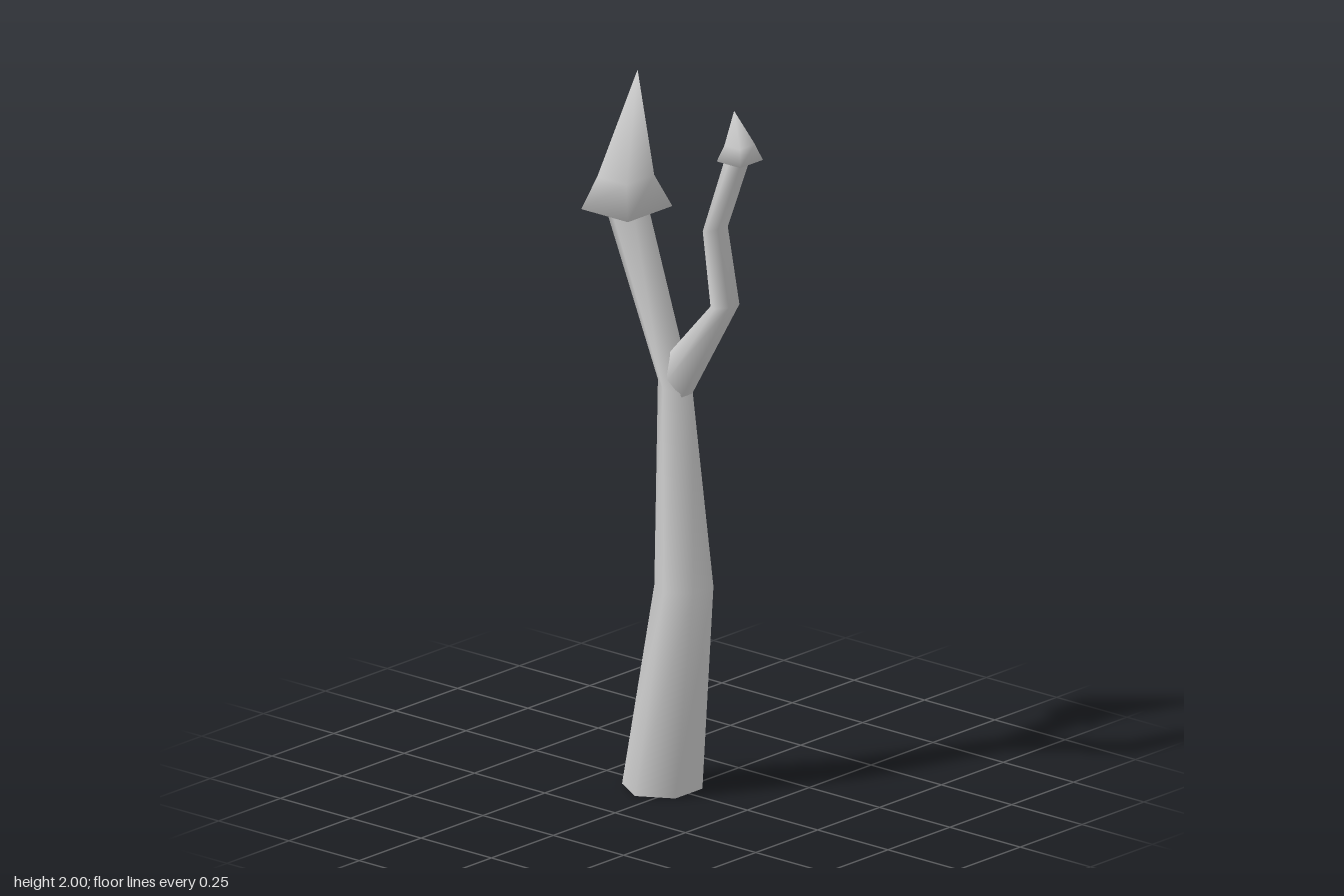
import * as THREE from 'three';
import { mergeVertices } from 'three/addons/utils/BufferGeometryUtils.js';

// Skin a stack of equal-sized rings (bottom to top) with smooth normals.
function loft(name, rings, material) {
  const n = rings[0].length;
  const index = [];
  for (let k = 0; k < rings.length - 1; k++) {
    for (let i = 0; i < n; i++) {
      const j = (i + 1) % n;
      const a = k * n + i, b = k * n + j, c = a + n, d = b + n;
      index.push(a, c, b, b, c, d);
    }
  }
  const skin = new THREE.BufferGeometry();
  skin.setAttribute('position', new THREE.Float32BufferAttribute(rings.flat(2), 3));
  skin.setIndex(index);
  const geometry = mergeVertices(skin);
  geometry.computeVertexNormals();
  const mesh = new THREE.Mesh(geometry, material);
  mesh.name = name;
  return mesh;
}

// Six-sided ring with flats at the front and back, given as [z, y] points.
function hexRing([front, back, radius]) {
  const ring = [];
  for (let i = 0; i < 6; i++) {
    const angle = i * Math.PI / 3;
    const t = 0.5 + 0.5 * Math.sin(angle) / Math.sin(Math.PI / 3);
    ring.push([
      radius * Math.cos(angle),
      THREE.MathUtils.lerp(back[1], front[1], t),
      THREE.MathUtils.lerp(back[0], front[0], t),
    ]);
  }
  return ring;
}

// Four-cornered ring; skew narrows its back left corner.
function squareRing(y, x0, x1, zBack, zFront, skew = 0) {
  return [[x1 - skew, y, zBack], [x1, y, zFront], [x0, y, zFront], [x0, y, zBack]];
}

// Pointed tip: closed underside, flared skirt, shoulder and an off-centre point.
function tip(name, under, base, shoulder, point, material) {
  const rings = [Array(4).fill(under), base, shoulder, Array(4).fill(point)];
  return loft(name, rings, material);
}

export function createModel() {
  const model = new THREE.Group();
  model.name = 'forkedStalk';
  const grey = new THREE.MeshStandardMaterial({ color: 0xcccccc, side: THREE.DoubleSide });
  grey.name = 'grey';

  // Trunk bending forward, then back into the large branch
  model.add(loft('trunk', [
    [[0.042, 0], [-0.147, 0], 0.11],
    [[0.094, 0.585], [-0.045, 0.58], 0.081],
    [[0.033, 1.13], [-0.046, 1.155], 0.05],
    [[-0.132, 1.62], [-0.23, 1.605], 0.06],
  ].map(hexRing), grey));

  // Crooked small branch growing from the front
  model.add(loft('smallBranch', [
    [[0.035, 1.12], [-0.028, 1.215], 0.043],
    [[0.203, 1.41], [0.138, 1.4], 0.043],
    [[0.163, 1.62], [0.109, 1.605], 0.04],
    [[0.245, 1.83], [0.187, 1.83], 0.034],
  ].map(hexRing), grey));

  // Tips
  model.add(tip('largeTip', [0, 1.6, -0.183],
    squareRing(1.6, -0.085, 0.095, -0.266, -0.1, 0.015),
    squareRing(1.69, -0.054, 0.058, -0.236, -0.132),
    [0, 2, -0.14], grey));
  model.add(tip('smallTip', [0, 1.823, 0.221],
    squareRing(1.823, -0.043, 0.048, 0.179, 0.263, 0.008),
    squareRing(1.868, -0.029, 0.032, 0.194, 0.249),
    [0, 1.96, 0.203], grey));

  return model;
}
